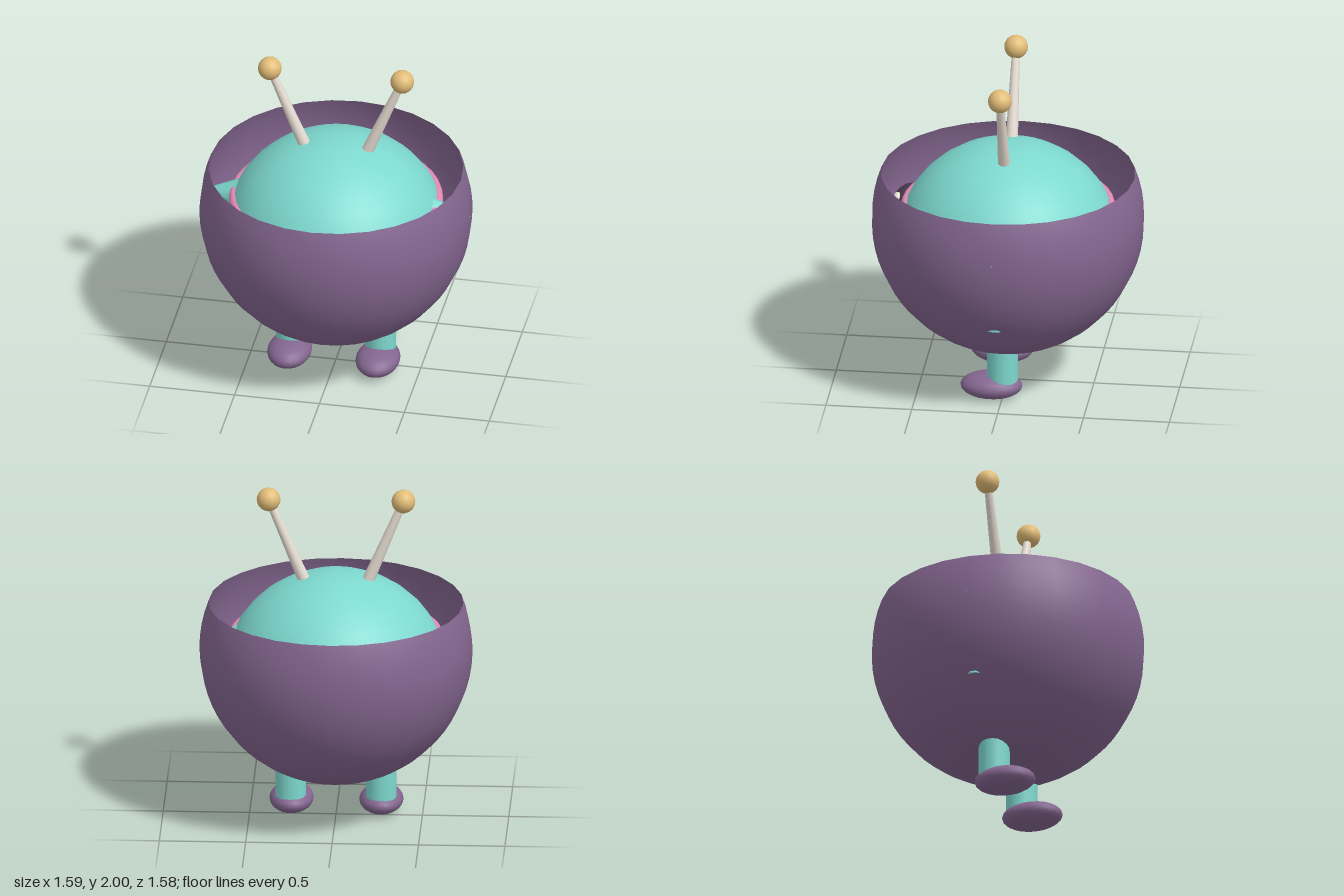
import * as THREE from 'three';

const material = (color, side = THREE.FrontSide) => new THREE.MeshStandardMaterial({ color, side });
const teal = material(0x7dd8ce);
const purple = material(0x846690);
const shellPurple = material(0x846690, THREE.DoubleSide);
const pink = material(0xe58ab5);
const gold = material(0xe2bd78);
const cream = material(0xe6ddd2);
const dark = material(0x4a3a50);

export function createModel() {
  const model = new THREE.Group();
  model.name = 'antennaCreature';

  const add = (name, geometry, mat, x = 0, y = 0, z = 0) => {
    const mesh = new THREE.Mesh(geometry, mat);
    mesh.name = name;
    mesh.position.set(x, y, z);
    model.add(mesh);
    return mesh;
  };

  const ellipsoid = (name, mat, [rx, ry, rz], [x, y, z], segments = 24) =>
    add(name, new THREE.SphereGeometry(1, segments, segments / 2).scale(rx, ry, rz), mat, x, y, z);

  // Tapered rod between two points; a zero end radius makes a spike
  const rod = (name, mat, from, to, r0, r1, sides) => {
    const a = new THREE.Vector3(...from);
    const b = new THREE.Vector3(...to);
    const dir = b.clone().sub(a);
    const mid = a.clone().lerp(b, 0.5);
    const mesh = add(name, new THREE.CylinderGeometry(r1, r0, dir.length(), sides), mat, mid.x, mid.y, mid.z);
    mesh.quaternion.setFromUnitVectors(new THREE.Vector3(0, 1, 0), dir.normalize());
    return mesh;
  };

  // Open bowl: a sphere with its top cut away
  const radius = 0.79;
  const cut = Math.acos(0.285 / radius);
  add('bowlShell', new THREE.SphereGeometry(radius, 28, 20, 0, Math.PI * 2, cut, Math.PI - cut),
    shellPurple, 0, 1.02, 0);

  // Round body inside the bowl, with a band around the head
  ellipsoid('body', teal, [0.645, 0.602, 0.645], [0, 0.88, 0], 36);
  add('headBand', new THREE.TorusGeometry(0.59, 0.03, 10, 40).rotateX(Math.PI / 2), pink, 0, 1.1, 0);

  for (const [side, s] of [['left', 1], ['right', -1]]) {
    // Antenna
    rod(side + 'AntennaStalk', cream, [s * 0.183, 1.435, 0], [s * 0.39, 1.93, 0], 0.036, 0.022, 12);
    ellipsoid(side + 'AntennaBall', gold, [0.069, 0.069, 0.069], [s * 0.39, 1.931, 0], 20);

    // Pointed ear and hanging arm, both just reaching through the bowl
    rod(side + 'Ear', teal, [s * 0.56, 1.06, 0], [s * 0.797, 1.06, 0], 0.1, 0, 8);
    rod(side + 'Arm', teal, [s * 0.57, 0.92, 0], [s * 0.61, 0.585, 0], 0.06, 0.063, 14);

    // Eye; both glints sit toward the same side
    ellipsoid(side + 'Eye', dark, [0.12, 0.13, 0.12], [s * 0.23, 0.97, 0.58], 24);
    ellipsoid(side + 'EyeGlint', cream, [0.034, 0.034, 0.026], [s * 0.225 + 0.042, 1.03, 0.665], 14);

    // Leg and foot
    rod(side + 'Leg', teal, [s * 0.262, 0.1, 0], [s * 0.262, 0.42, 0], 0.09, 0.09, 18);
    ellipsoid(side + 'Foot', purple, [0.128, 0.076, 0.18], [s * 0.26, 0.077, 0.065], 24);
  }

  return model;
}
